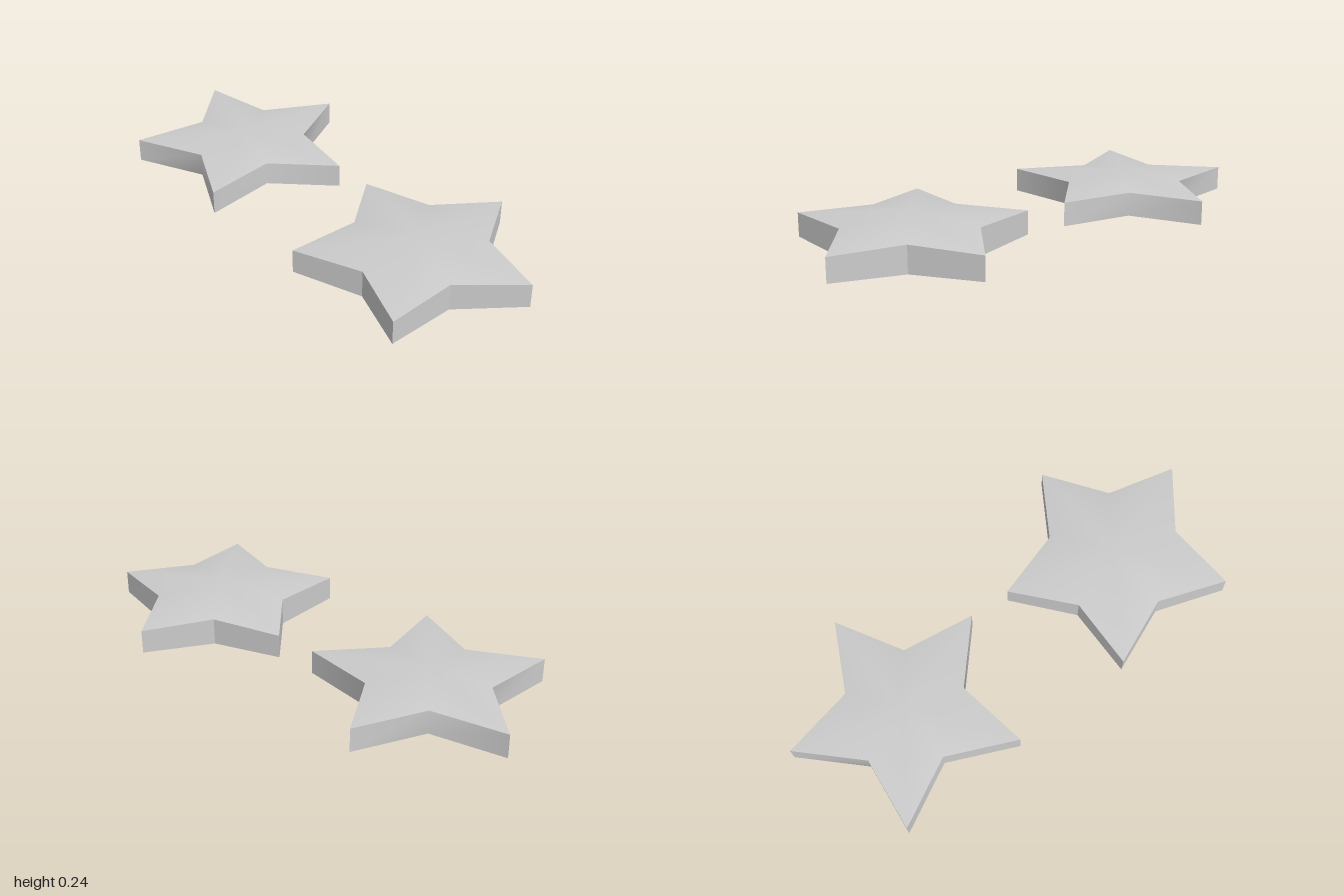
import * as THREE from 'three';

const MID = 0.118; // height of the stars' middle plane
const TIP_RADIUS = 0.535;

const material = new THREE.MeshStandardMaterial({ color: 0xcccccc });

function meshFrom(name, points, index, flat = false) {
  let geometry = new THREE.BufferGeometry().setFromPoints(points).setIndex(index);
  if (flat) geometry = geometry.toNonIndexed();
  geometry.computeVertexNormals();
  const mesh = new THREE.Mesh(geometry, material);
  mesh.name = name;
  return mesh;
}

// Five-pointed star: shallow domed faces above and below an upright rim
function createStar({ name, x, z, notchRadius, tipHalf, notchHalf, apexHalf, flatRim }) {
  const star = new THREE.Group();
  star.name = name;
  star.position.set(x, MID, z);

  // Outline alternates tip, notch, tip, ... starting with the tip at the front
  const outline = (side) => Array.from({ length: 10 }, (_, i) => {
    const r = i % 2 ? notchRadius : TIP_RADIUS;
    const a = (i * Math.PI) / 5;
    return new THREE.Vector3(r * Math.sin(a), side * (i % 2 ? notchHalf : tipHalf), r * Math.cos(a));
  });

  // Top and bottom faces: fans around a raised centre
  for (const side of [1, -1]) {
    const points = [new THREE.Vector3(0, side * apexHalf, 0), ...outline(side)];
    const index = [];
    for (let i = 0; i < 10; i++) {
      const a = i + 1, b = ((i + 1) % 10) + 1;
      index.push(0, ...(side > 0 ? [a, b] : [b, a]));
    }
    star.add(meshFrom(side > 0 ? 'topFace' : 'bottomFace', points, index));
  }

  // Rim: one strip from tip to tip, so every tip keeps a sharp edge
  const top = outline(1), bottom = outline(-1);
  const points = [], index = [];
  for (let tip = 0; tip < 10; tip += 2) {
    const base = points.length;
    for (let k = 0; k < 3; k++) points.push(bottom[(tip + k) % 10], top[(tip + k) % 10]);
    for (let k = 0; k < 2; k++) {
      const p = base + 2 * k;
      index.push(p, p + 2, p + 3, p, p + 3, p + 1);
    }
  }
  star.add(meshFrom('rim', points, index, flatRim));
  return star;
}

export function createModel() {
  const model = new THREE.Group();
  model.name = 'starPair';
  model.add(
    createStar({
      name: 'backStar', x: -0.491, z: -0.415, notchRadius: 0.28,
      tipHalf: 0.056, notchHalf: 0.056, apexHalf: 0.097, flatRim: false,
    }),
    createStar({
      name: 'frontStar', x: 0.491, z: 0.31, notchRadius: 0.313,
      tipHalf: 0.056, notchHalf: 0.064, apexHalf: 0.118, flatRim: true,
    }),
  );
  return model;
}
